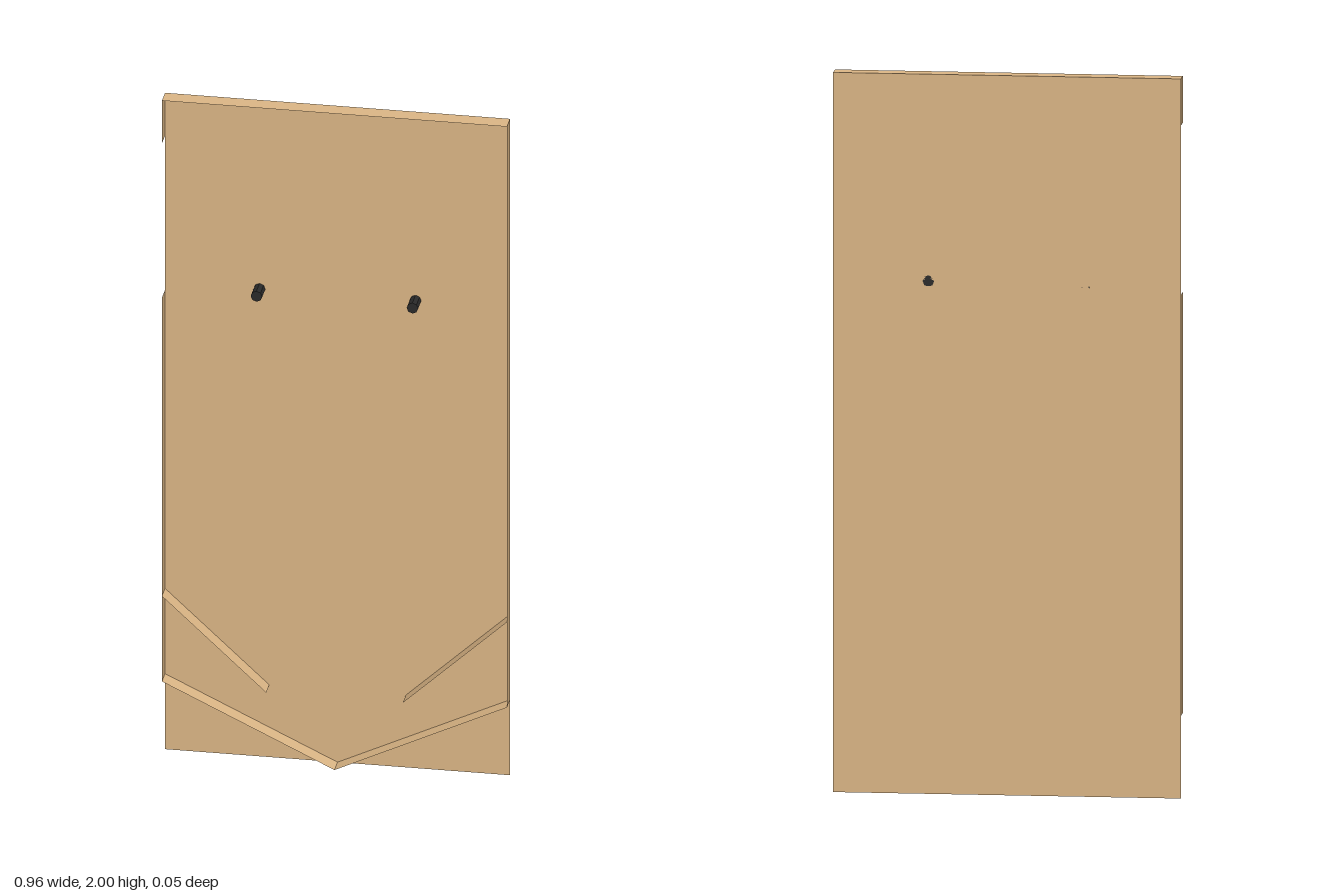
import * as THREE from 'three';

const W = 0.48, H = 2, Z = 0.025; // half width, height, half depth

export function createModel() {
  const model = new THREE.Group();
  const wood = new THREE.MeshStandardMaterial({ color: 0xdeb887, side: THREE.DoubleSide });
  wood.name = 'lightWood';
  const dark = new THREE.MeshStandardMaterial({ color: 0x2a2a2a });
  dark.name = 'darkPeg';

  const add = (name, geometry, material) => {
    const mesh = new THREE.Mesh(geometry, material);
    mesh.name = name;
    model.add(mesh);
    return mesh;
  };

  // Thin strip spanning the depth of the tray between two points of the front plane
  const strip = (name, x1, y1, x2, y2) => {
    const length = Math.hypot(x2 - x1, y2 - y1);
    const geometry = new THREE.PlaneGeometry(length, 2 * Z)
      .rotateX(-Math.PI / 2)
      .rotateZ(Math.atan2(y2 - y1, x2 - x1))
      .translate((x1 + x2) / 2, (y1 + y2) / 2, 0);
    add(name, geometry, wood);
  };

  // Back board
  add('backBoard', new THREE.PlaneGeometry(2 * W, H), wood).position.set(0, H / 2, -Z);

  // Rim: top, full left wall, right wall with an opening near the top
  strip('topWall', W, H, -W, H);
  strip('leftWall', W, 0.23, W, H);
  strip('rightWallUpper', -W, H, -W, 1.87);
  strip('rightWallLower', -W, 1.4, -W, 0.23);

  // Mirrored V floor, inner ramps and pegs
  for (const [side, s] of [['left', 1], ['right', -1]]) {
    strip(side + 'Floor', 0, 0, s * W, 0.23);
    strip(side + 'Ramp', s * 0.19, 0.22, s * W, 0.49);
    const peg = new THREE.CylinderGeometry(0.016, 0.016, 2 * Z, 8).toNonIndexed();
    peg.computeVertexNormals();
    peg.rotateX(Math.PI / 2);
    add(side + 'Peg', peg, dark).position.set(s * 0.217, 1.425, 0);
  }
  return model;
}
